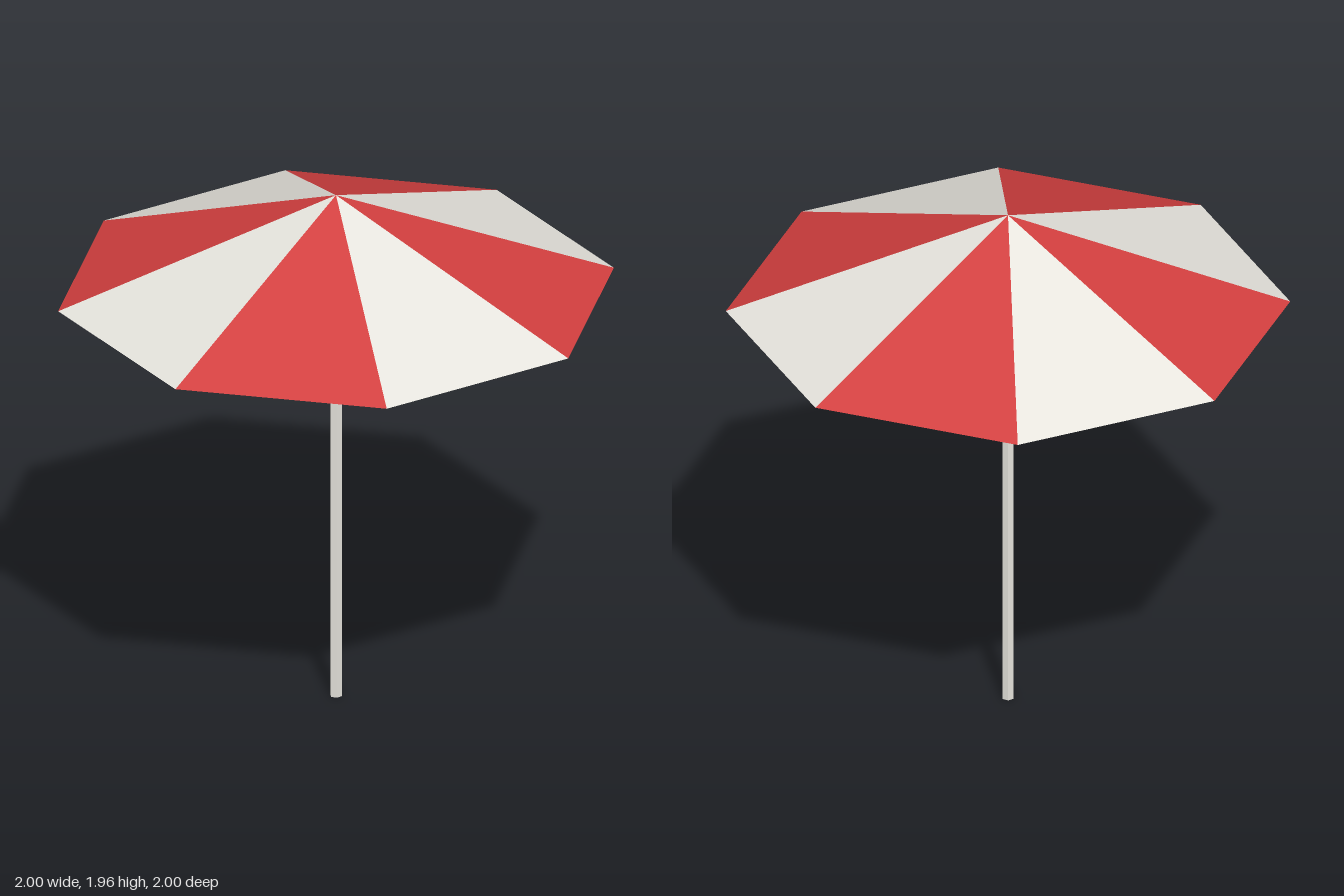
import * as THREE from 'three';

const SEGMENTS = 8;
const RADIUS = 1;
const RIM_Y = 1.59;
const APEX_Y = 1.96;
const POLE_TOP = 1.84;

function material(name, color, options = {}) {
  const m = new THREE.MeshStandardMaterial({ color, flatShading: true, ...options });
  m.name = name;
  return m;
}

// One flat triangular panel of the canopy, from the rim up to the apex
function panelGeometry(index) {
  const step = (Math.PI * 2) / SEGMENTS;
  const rim = (i) => new THREE.Vector3(
    RADIUS * Math.sin(i * step), RIM_Y, RADIUS * Math.cos(i * step));
  const geometry = new THREE.BufferGeometry().setFromPoints(
    [rim(index), rim(index + 1), new THREE.Vector3(0, APEX_Y, 0)]);
  geometry.computeVertexNormals();
  return geometry;
}

export function createModel() {
  const cream = material('cream cloth', 0xe8e6df, { side: THREE.DoubleSide });
  const red = material('red cloth', 0xd33f3f, { side: THREE.DoubleSide });

  const parasol = new THREE.Group();
  parasol.name = 'parasol';

  // Canopy: open shell of alternating panels
  const canopy = new THREE.Group();
  canopy.name = 'canopy';
  for (let i = 0; i < SEGMENTS; i++) {
    const panel = new THREE.Mesh(panelGeometry(i), i % 2 ? red : cream);
    panel.name = `canopyPanel${i + 1}`;
    canopy.add(panel);
  }
  parasol.add(canopy);

  // Six-sided pole, ending just under the apex
  const pole = new THREE.Mesh(
    new THREE.CylinderGeometry(0.023, 0.023, POLE_TOP, 6), cream);
  pole.name = 'pole';
  pole.position.y = POLE_TOP / 2;
  parasol.add(pole);

  return parasol;
}
